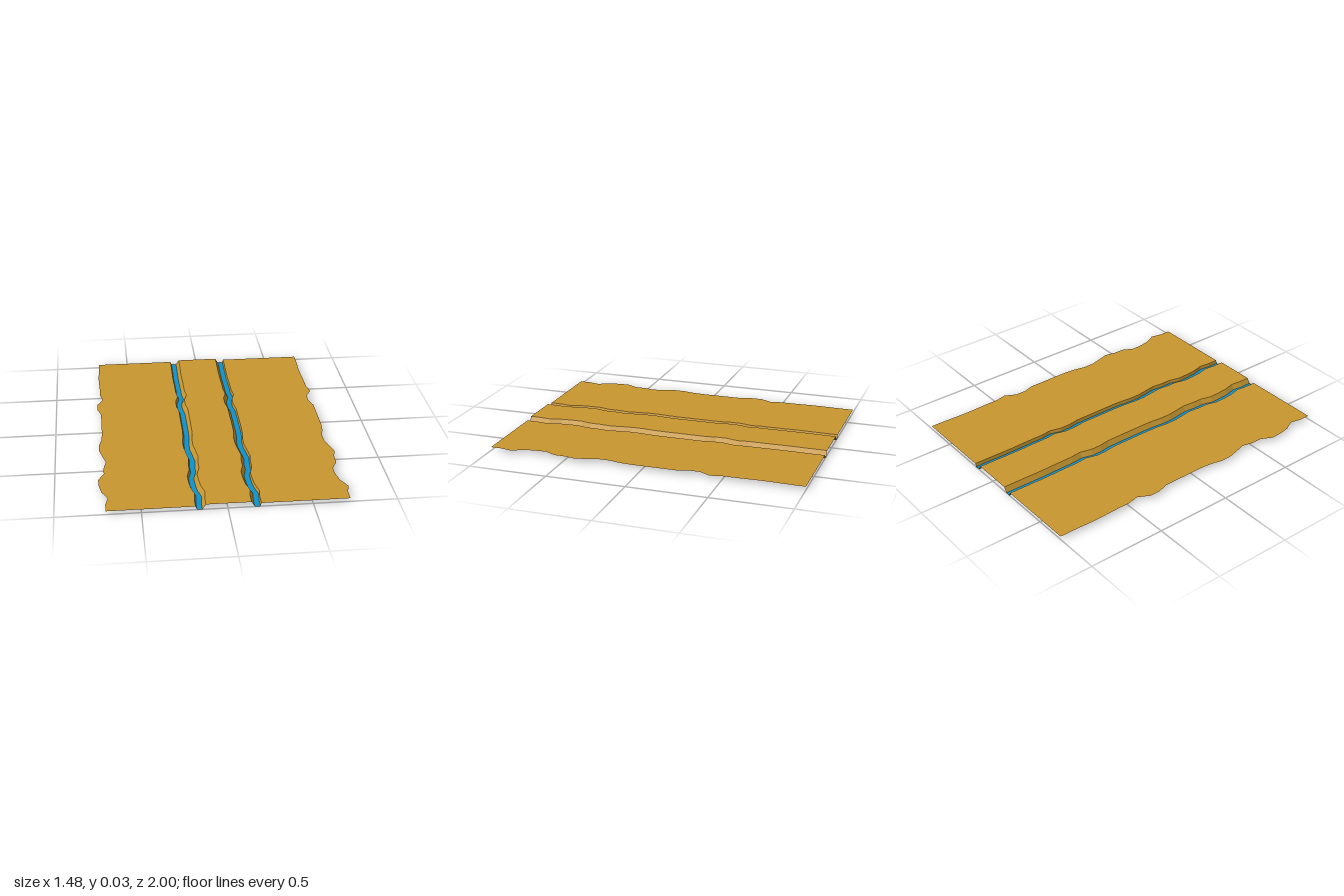
import * as THREE from 'three';

// Sideways meander of each row, from the back edge (z = -1) to the front (z = 1)
const DRIFT = [
  0, 0, -0.002, -0.005, -0.005, -0.002, 0, 0, 0.016, -0.022,
  -0.022, 0, 0, 0, 0, 0, -0.006, -0.022, -0.022, -0.004,
  0.016, 0.001, 0, -0.036, -0.033, -0.02, 0.016, 0, 0,
];
const ROWS = DRIFT.length - 1;
const PLAIN = 0.022, RIDGE = 0.032; // heights of outer plains and middle land

// Open strip swept along z; each profile point is [x, y, share of drift]
function strip(name, profile, material) {
  const pos = [], index = [], n = profile.length;
  DRIFT.forEach((d, i) => {
    for (const [x, y, share] of profile) pos.push(x + d * share, y, -1 + (2 * i) / ROWS);
  });
  for (let i = 0; i < ROWS; i++) {
    for (let j = 0; j < n - 1; j++) {
      const a = i * n + j, b = a + n;
      index.push(a, b, a + 1, b, b + 1, a + 1);
    }
  }
  const geometry = new THREE.BufferGeometry();
  geometry.setAttribute('position', new THREE.Float32BufferAttribute(pos, 3));
  geometry.setIndex(index);
  geometry.computeVertexNormals();
  const mesh = new THREE.Mesh(geometry, material);
  mesh.name = name;
  return mesh;
}

export function createModel() {
  const group = new THREE.Group();
  group.name = 'riverLandscape';
  const sheet = (color) =>
    new THREE.MeshStandardMaterial({ color, flatShading: true, side: THREE.DoubleSide });
  const earth = sheet(0xc8962f);
  const water = sheet(0x1191c9);

  // Land on either side and between the rivers
  group.add(strip('rightPlain', [[-0.705, PLAIN, 1], [-0.188, PLAIN, 0.5]], earth));
  group.add(strip('middleLand', [[-0.128, RIDGE, 0.5], [0.138, RIDGE, 0.5]], earth));
  group.add(strip('leftPlain', [[0.195, PLAIN, 0.5], [0.719, PLAIN, 1]], earth));

  // Sloping banks down to the water, and the two river surfaces
  const rivers = [
    ['right', [-0.188, PLAIN], -0.18, -0.148, [-0.128, RIDGE]],
    ['left', [0.138, RIDGE], 0.157, 0.19, [0.195, PLAIN]],
  ];
  for (const [side, topA, x0, x1, topB] of rivers) {
    group.add(strip(side + 'RiverBankA', [[...topA, 0.5], [x0, 0, 0.5]], earth));
    group.add(strip(side + 'RiverWater', [[x0, 0, 0.5], [x1, 0, 0.5]], water));
    group.add(strip(side + 'RiverBankB', [[x1, 0, 0.5], [...topB, 0.5]], earth));
  }
  return group;
}
